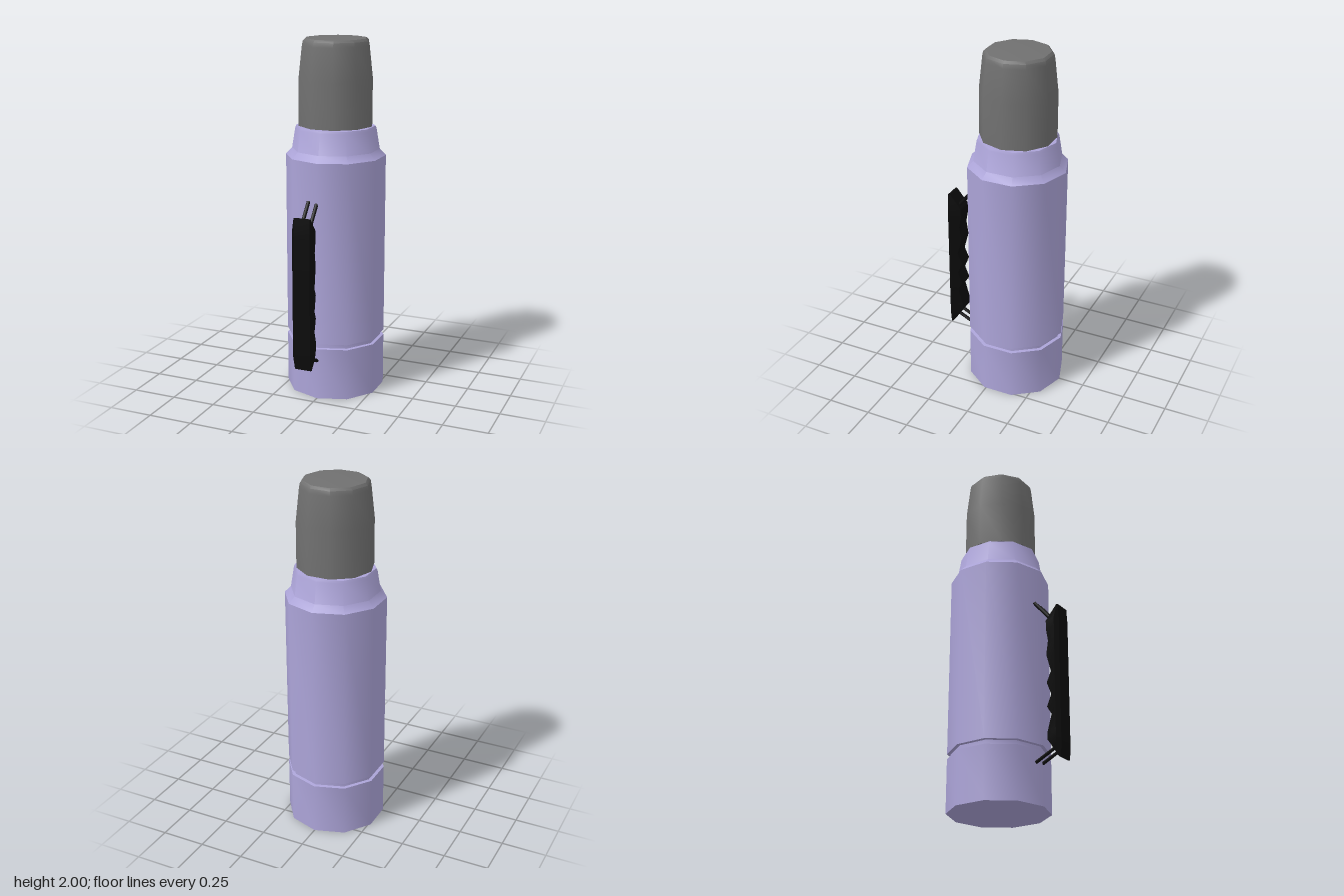
import * as THREE from 'three';
import { toCreasedNormals } from 'three/addons/utils/BufferGeometryUtils.js';

const AXIS_Z = -0.075;   // centre of the flask
const GRIP_X = -0.02;    // centre of the handle

const lavender = new THREE.MeshStandardMaterial({ name: 'lavender enamel', color: 0xaca4d8 });
const grey = new THREE.MeshStandardMaterial({ name: 'grey cap', color: 0x707070 });
const black = new THREE.MeshStandardMaterial({ name: 'black handle', color: 0x0b0b0b });

function addMesh(parent, name, geometry, material) {
  const mesh = new THREE.Mesh(geometry, material);
  mesh.name = name;
  parent.add(mesh);
  return mesh;
}

// Ten-sided turned part, smooth around and sharp at the steps
function turned(profile, startAngle) {
  const points = profile.map(([r, y]) => new THREE.Vector2(r, y));
  const geometry = new THREE.LatheGeometry(points, 10, startAngle);
  return toCreasedNormals(geometry, 0.66);
}

// Six-sided grip lofted upwards through sections [y, backZ, midZ, frontZ, backHalf, midHalf]
function gripGeometry(sections) {
  const positions = [], index = [], n = 6;
  for (const [y, back, mid, front, hb, hm] of sections) {
    const ring = [[-hb, front], [hb, front], [hm, mid], [hb, back], [-hb, back], [-hm, mid]];
    for (const [x, z] of ring) positions.push(GRIP_X + x, y, z);
  }
  for (let s = 0; s < sections.length - 1; s++) {
    for (let i = 0; i < n; i++) {
      const a = s * n + i, b = s * n + (i + 1) % n;
      index.push(a, b, b + n, a, b + n, a + n);
    }
  }
  const top = (sections.length - 1) * n;
  for (let i = 1; i < n - 1; i++) {
    index.push(0, i + 1, i, top, top + i, top + i + 1);
  }
  const geometry = new THREE.BufferGeometry();
  geometry.setAttribute('position', new THREE.Float32BufferAttribute(positions, 3));
  geometry.setIndex(index);
  return toCreasedNormals(geometry, 0.5);
}

// Thin rod between two points
function rod(parent, name, from, to, radius) {
  const a = new THREE.Vector3(...from), b = new THREE.Vector3(...to);
  const mesh = addMesh(parent, name, new THREE.CylinderGeometry(radius, radius, a.distanceTo(b), 6), black);
  mesh.position.copy(a).add(b).multiplyScalar(0.5);
  mesh.quaternion.setFromUnitVectors(new THREE.Vector3(0, 1, 0), b.sub(a).normalize());
}

export function createModel() {
  const model = new THREE.Group();
  model.name = 'vacuumFlask';

  // Body with base groove, shoulder chamfer and tapering neck
  const body = addMesh(model, 'body', turned([
    [0, 0], [0.277, 0], [0.277, 0.295], [0.258, 0.297], [0.258, 0.323], [0.277, 0.325],
    [0.277, 1.35], [0.243, 1.385], [0.224, 1.5], [0.218, 1.513], [0, 1.513],
  ], 0), lavender);
  body.position.z = AXIS_Z;

  // Cup lid, turned half a facet from the body
  const cap = addMesh(model, 'cap', turned([
    [0, 1.517], [0.209, 1.517], [0.208, 1.77], [0.188, 1.95], [0.183, 1.975], [0.17, 1.988], [0, 2],
  ], Math.PI / 10), grey);
  cap.position.z = AXIS_Z;

  // Handle with finger grooves along its inner side
  const handle = new THREE.Group();
  handle.name = 'handle';
  model.add(handle);
  const waves = [
    [0.325, 0.268], [0.365, 0.268], [0.46, 0.295], [0.505, 0.268], [0.57, 0.295],
    [0.64, 0.268], [0.7, 0.295], [0.8, 0.268], [0.88, 0.28], [0.95, 0.268], [1.0, 0.268],
  ];
  addMesh(handle, 'grip', gripGeometry([
    [0.225, 0.334, 0.34, 0.345, 0.045, 0.05],
    [0.29, 0.292, 0.33, 0.35, 0.045, 0.065],
    ...waves.map(([y, back]) => [y, back, 0.33, 0.35, 0.045, 0.065]),
    [1.08, 0.334, 0.34, 0.345, 0.045, 0.05],
  ]), black);

  // Paired struts joining the handle to the body
  for (const x of [-0.05, 0]) {
    rod(handle, 'upperStrut', [x, 0.995, 0.305], [x, 1.135, 0.188], 0.01);
    rod(handle, 'lowerStrut', [x, 0.285, 0.315], [x, 0.222, 0.188], 0.01);
  }
  return model;
}
